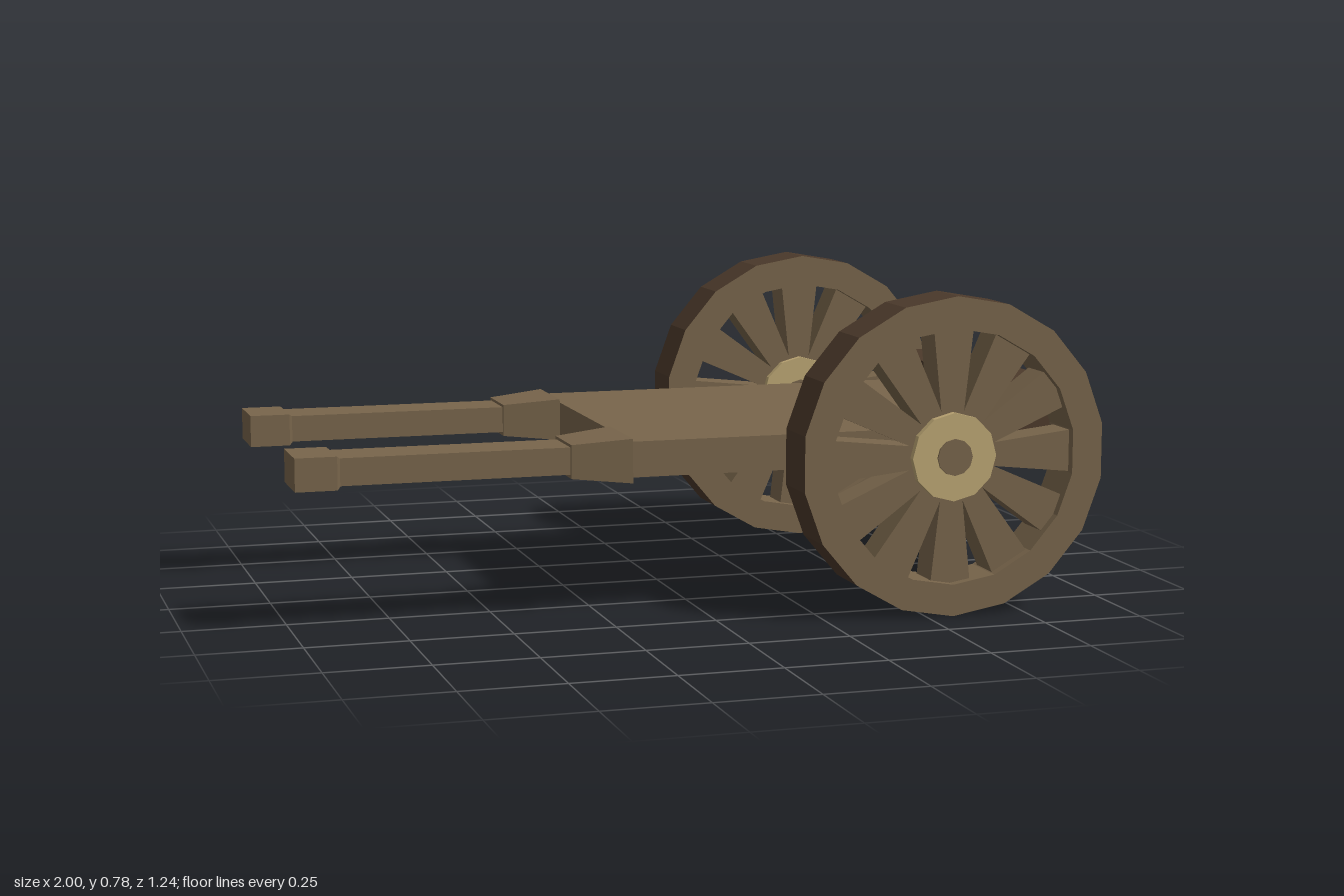
import * as THREE from 'three';

const material = (name, color) => {
  const m = new THREE.MeshStandardMaterial({ color, flatShading: true });
  m.name = name;
  return m;
};

export function createModel() {
  const wood = material('wood', 0x78654b);
  const darkWood = material('dark wood', 0x4c3a2b);
  const paleWood = material('pale wood', 0xbca674);

  const cart = new THREE.Group();
  cart.name = 'cart';

  const add = (parent, name, geometry, mat, x = 0, y = 0, z = 0) => {
    const mesh = new THREE.Mesh(geometry, mat);
    mesh.name = name;
    mesh.position.set(x, y, z);
    parent.add(mesh);
    return mesh;
  };

  const box = (name, x0, x1, y0, y1, z0, z1, mat) =>
    add(cart, name, new THREE.BoxGeometry(x1 - x0, y1 - y0, z1 - z0), mat,
      (x0 + x1) / 2, (y0 + y1) / 2, (z0 + z1) / 2);

  // Box along x whose cross-section grows from [h0, d0] at -x to [h1, d1] at +x
  const taperedBox = (length, [h0, d0], [h1, d1]) => {
    const g = new THREE.BoxGeometry(length, 1, 1);
    const p = g.attributes.position;
    for (let i = 0; i < p.count; i++) {
      const far = p.getX(i) > 0;
      p.setY(i, p.getY(i) * (far ? h1 : h0));
      p.setZ(i, p.getZ(i) * (far ? d1 : d0));
    }
    g.computeVertexNormals();
    return g;
  };

  // Faceted ring around z from a radius/height profile
  const ring = (profile) =>
    new THREE.LatheGeometry(profile.map(([r, h]) => new THREE.Vector2(r, h)), 18)
      .rotateX(Math.PI / 2);

  // Bed and end board
  box('bed', -0.19, 0.81, 0.35, 0.437, -0.43, 0.43, wood);
  box('endBoard', 0.807, 1, 0.347, 0.518, -0.433, 0.433, darkWood);

  // Pulling shafts with a flared collar and a square grip
  for (const side of [1, -1]) {
    const z = side * 0.346;
    box('shaft', -0.91, -0.32, 0.361, 0.427, z - 0.065, z + 0.065, wood);
    add(cart, 'grip', taperedBox(0.1, [0.08, 0.15], [0.08, 0.15]), wood, -0.95, 0.393, z);
    add(cart, 'gripEdge', taperedBox(0.008, [0.08, 0.15], [0.066, 0.13]), wood, -0.896, 0.393, z);
    add(cart, 'collar', taperedBox(0.145, [0.082, 0.15], [0.108, 0.205]), wood, -0.265, 0.393, z);
  }

  // Axle
  const axleX = 0.565, axleY = 0.393;
  const axle = new THREE.CylinderGeometry(0.037, 0.037, 1.2, 12).rotateX(Math.PI / 2);
  add(cart, 'axle', axle, [darkWood, wood, wood], axleX, axleY, 0);

  // Wheels
  const outer = 0.39, inner = 0.312, half = 0.068;
  for (const side of [1, -1]) {
    const wheel = new THREE.Group();
    wheel.name = side > 0 ? 'frontWheel' : 'backWheel';
    wheel.position.set(axleX, axleY, side * 0.553);
    cart.add(wheel);

    add(wheel, 'tread', ring([[outer, -half], [outer, half]]), darkWood);
    add(wheel, 'rim', ring([[outer, half], [inner, half], [inner, -half], [outer, -half]]), wood);

    for (let i = 0; i < 12; i++) {
      const angle = (i * Math.PI) / 6;
      const radius = 0.195;
      const spoke = add(wheel, 'spoke', taperedBox(0.25, [0.05, 0.09], [0.105, 0.09]), wood,
        Math.cos(angle) * radius, Math.sin(angle) * radius, 0);
      spoke.rotation.z = angle;
    }

    add(wheel, 'hub', new THREE.CylinderGeometry(0.108, 0.108, 0.125, 12).rotateX(Math.PI / 2), paleWood);
    add(wheel, 'axleCap', new THREE.CylinderGeometry(0.045, 0.045, 0.134, 12).rotateX(Math.PI / 2), wood);
  }

  return cart;
}
